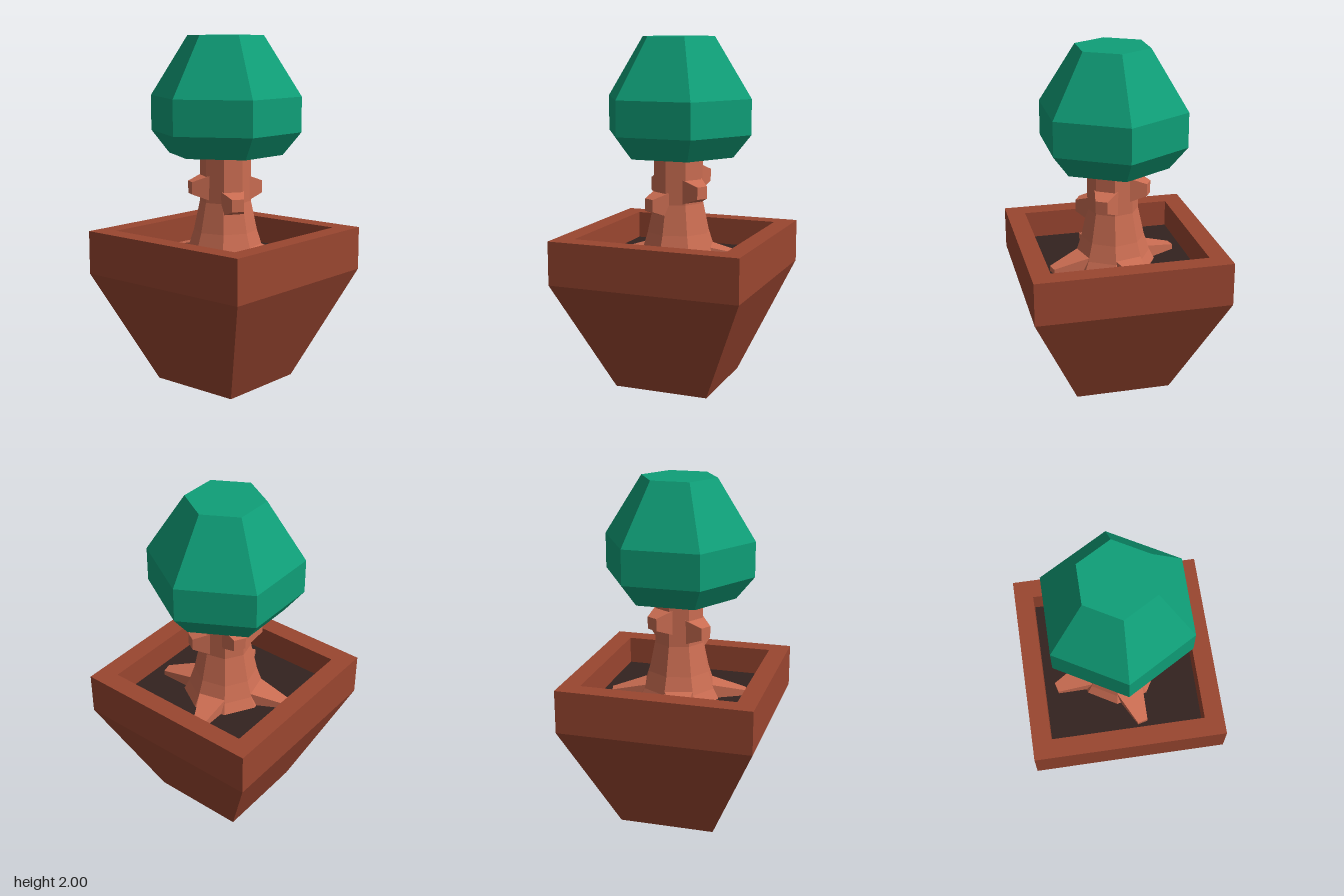
import * as THREE from 'three';

const rad = THREE.MathUtils.degToRad;

function mat(color) {
  return new THREE.MeshStandardMaterial({ color, flatShading: true });
}

// Faceted solid of revolution; profile rows are [radius, y] from bottom to top
function faceted(name, profile, sides, startDeg, material) {
  const points = profile.map(([r, y]) => new THREE.Vector2(r, y));
  const mesh = new THREE.Mesh(new THREE.LatheGeometry(points, sides, rad(startDeg)), material);
  mesh.name = name;
  return mesh;
}

// Square tapered peg pointing away from the trunk axis at a given heading
function peg(name, deg, y, r0, r1, half0, half1, material) {
  const geo = new THREE.CylinderGeometry(half1 * Math.SQRT2, half0 * Math.SQRT2, r1 - r0, 4, 1, false, Math.PI / 4);
  geo.rotateX(Math.PI / 2);
  geo.translate(0, y, (r0 + r1) / 2);
  geo.rotateY(rad(deg));
  const mesh = new THREE.Mesh(geo, material);
  mesh.name = name;
  return mesh;
}

export function createModel() {
  const group = new THREE.Group();
  group.name = 'pottedTree';
  const clay = mat(0x9a4630);
  const bark = mat(0xcb6d52);
  const leaf = mat(0x0f9f78);
  const earth = mat(0x33231f);

  // Square pot: tapered body, upright rim and inner wall
  const s = Math.SQRT2;
  group.add(faceted('pot', [
    [0, 0], [0.277 * s, 0], [0.555 * s, 0.64], [0.555 * s, 0.89],
    [0.445 * s, 0.89], [0.445 * s, 0.72],
  ], 4, 45, clay));

  // Soil
  const soil = new THREE.Mesh(new THREE.BoxGeometry(0.89, 0.04, 0.89), earth);
  soil.name = 'soil';
  soil.position.y = 0.71;
  group.add(soil);

  // Trunk flaring toward the ground
  group.add(faceted('trunk', [
    [0.25, 0.72], [0.215, 0.79], [0.183, 0.89], [0.147, 1.06], [0.145, 1.36],
  ], 8, -8, bark));

  // Roots on every other trunk face, cut branch stubs on the faces between
  const stubHeights = [1.06, 1.135, 1.2, 1.145];
  stubHeights.forEach((y, i) => {
    group.add(peg('root', 14.5 + 90 * i, 0.73, 0.15, 0.39, 0.09, 0.03, bark));
    group.add(peg('branchStub', -30 + 90 * i, y, 0.12, 0.213, 0.07, 0.035, bark));
  });

  // Hexagonal crown
  group.add(faceted('crown', [
    [0, 1.33], [0.33, 1.33], [0.435, 1.46], [0.435, 1.66], [0.218, 2], [0, 2],
  ], 6, 90, leaf));

  return group;
}
